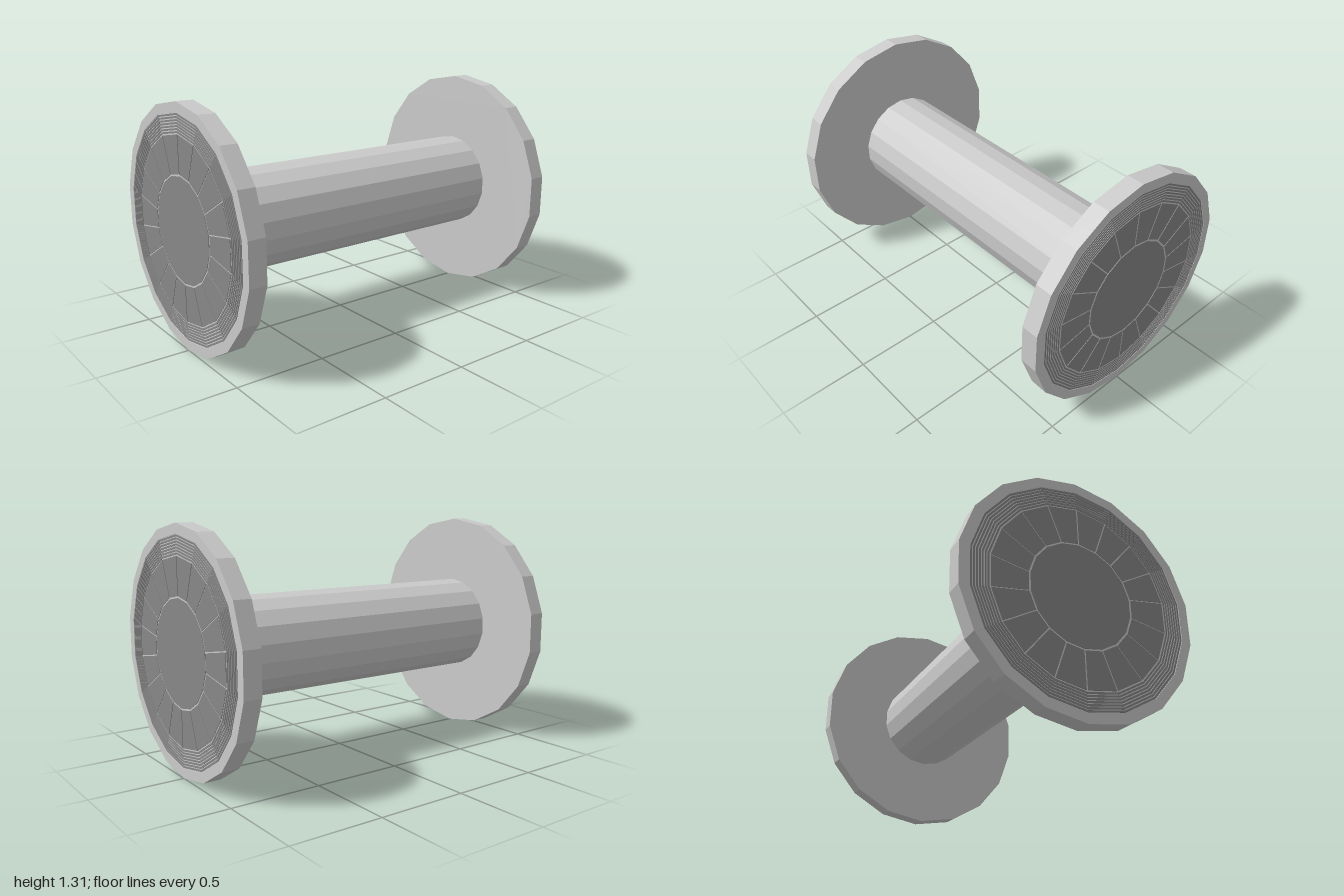
import * as THREE from 'three';

const SIDES = 18;
const STEP = (Math.PI * 2) / SIDES;
const AXIS_Y = 0.655;
const FACE_X = 0.997; // flange face, the inlays stand slightly proud of it
const PROUD = 0.003;

const light = new THREE.MeshStandardMaterial({ color: 0xcccccc, flatShading: true });
const dark = new THREE.MeshStandardMaterial({ color: 0x888888, flatShading: true });

// point at radius r on corner i, shifted sideways by offset
function corner(r, i, offset = 0) {
  const a = Math.PI / 2 + i * STEP;
  return new THREE.Vector2(
    r * Math.cos(a) - offset * Math.sin(a),
    r * Math.sin(a) + offset * Math.cos(a)
  );
}

function polygon(r) {
  return Array.from({ length: SIDES }, (_, i) => corner(r, i));
}

function ringShape(outer, inner) {
  const shape = new THREE.Shape(polygon(outer));
  if (inner) shape.holes.push(new THREE.Path(polygon(inner)));
  return shape;
}

function addPlate(parent, name, shape, material, depth, z) {
  const geometry = new THREE.ExtrudeGeometry(shape, { depth, bevelEnabled: false });
  geometry.translate(0, 0, z);
  const mesh = new THREE.Mesh(geometry, material);
  mesh.name = name;
  parent.add(mesh);
}

// one end of the spool, built facing +z
function createEnd(name) {
  const end = new THREE.Group();
  end.name = name;
  addPlate(end, 'flange', ringShape(0.655), light, FACE_X - 0.905, 0.905);
  addPlate(end, 'rim', ringShape(0.655, 0.602), light, PROUD, FACE_X);

  // fine concentric rings
  for (let i = 0; i < 7; i++) {
    const r = 0.598 - i * 0.0148;
    addPlate(end, 'ring', ringShape(r, r - 0.0095), dark, PROUD, FACE_X);
  }

  // wedge panels with narrow gaps
  const gap = 0.003;
  for (let i = 0; i < SIDES; i++) {
    const wedge = new THREE.Shape([
      corner(0.292, i, gap), corner(0.492, i, gap),
      corner(0.492, i + 1, -gap), corner(0.292, i + 1, -gap)
    ]);
    addPlate(end, 'wedgePanel', wedge, dark, PROUD, FACE_X);
  }
  addPlate(end, 'hubDisc', ringShape(0.283), dark, PROUD, FACE_X);
  return end;
}

export function createModel() {
  const spool = new THREE.Group();
  spool.name = 'spool';

  // barrel lying along x
  const barrelGeometry = new THREE.CylinderGeometry(
    0.273, 0.273, 1.82, SIDES, 1, true, Math.PI / 2
  );
  barrelGeometry.rotateZ(Math.PI / 2);
  const barrel = new THREE.Mesh(barrelGeometry, light);
  barrel.name = 'barrel';
  barrel.position.y = AXIS_Y;
  spool.add(barrel);

  // matching ends
  for (const side of [1, -1]) {
    const end = createEnd(side > 0 ? 'leftEnd' : 'rightEnd');
    end.rotation.y = (side * Math.PI) / 2;
    end.position.y = AXIS_Y;
    spool.add(end);
  }
  return spool;
}
